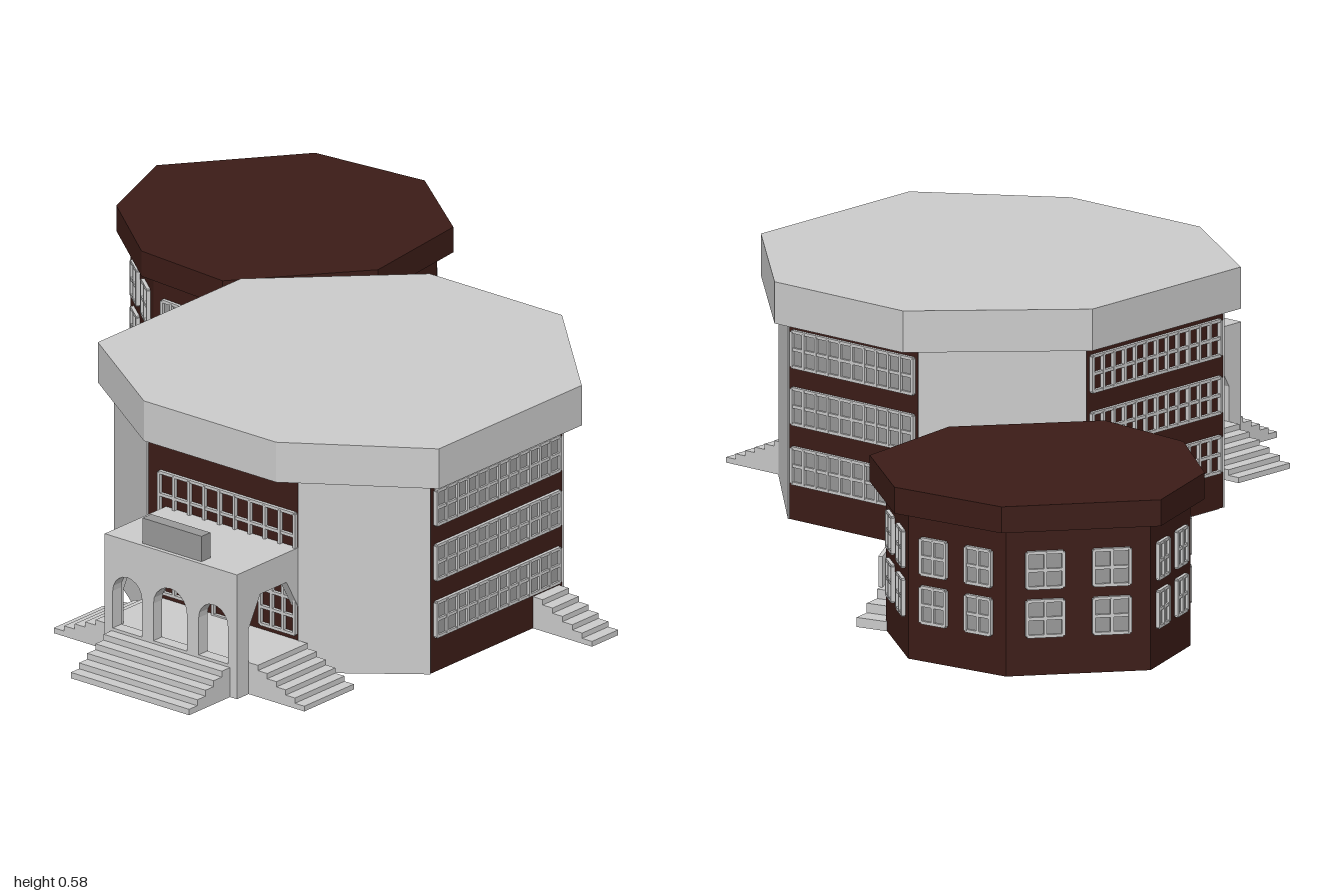
import * as THREE from 'three';

const grey = new THREE.MeshStandardMaterial({ color: 0xcccccc, flatShading: true });
const brown = new THREE.MeshStandardMaterial({ color: 0x3c1c17, flatShading: true });
const dark = new THREE.MeshStandardMaterial({ color: 0x999999, flatShading: true });
const GROUND = 0.035;

function add(parent, name, geo, mat, x = 0, y = 0, z = 0) {
  const mesh = new THREE.Mesh(geo, mat);
  mesh.name = name;
  mesh.position.set(x, y, z);
  parent.add(mesh);
  return mesh;
}

// Box given by its min and max corners
function block(parent, name, mat, x0, x1, y0, y1, z0, z1) {
  return add(parent, name, new THREE.BoxGeometry(x1 - x0, y1 - y0, z1 - z0), mat,
    (x0 + x1) / 2, (y0 + y1) / 2, (z0 + z1) / 2);
}

const polygon = pts => new THREE.Shape(pts.map(p => new THREE.Vector2(...p)));
const extrude = (shape, depth) =>
  new THREE.ExtrudeGeometry(shape, { depth, bevelEnabled: false, curveSegments: 5 });

// Upright prism over a plan of [x, z] points
function prism(parent, name, mat, plan, y0, y1) {
  const geo = extrude(polygon(plan.map(([x, z]) => [x, -z])), y1 - y0).rotateX(-Math.PI / 2);
  return add(parent, name, geo, mat, 0, y0, 0);
}

// Group on a wall: local x runs along the wall, local z points outward
function wallGroup(parent, name, plan, i) {
  const a = plan[i], b = plan[(i + 1) % plan.length];
  const cx = plan.reduce((s, p) => s + p[0], 0) / plan.length;
  const cz = plan.reduce((s, p) => s + p[1], 0) / plan.length;
  const mx = (a[0] + b[0]) / 2, mz = (a[1] + b[1]) / 2;
  let nx = b[1] - a[1], nz = a[0] - b[0];
  if (nx * (mx - cx) + nz * (mz - cz) < 0) { nx = -nx; nz = -nz; }
  const group = new THREE.Group();
  group.name = name;
  group.position.set(mx, 0, mz);
  group.rotation.y = Math.atan2(nx, nz);
  group.userData.width = Math.hypot(nx, nz);
  parent.add(group);
  return group;
}

// Framed window with a grid of bars, optionally glazed
function gridWindow(parent, x, y, w, h, cols, rows, glazed) {
  const bar = 0.007;
  if (glazed) block(parent, 'windowPane', dark, x - w / 2, x + w / 2, y, y + h, -0.002, 0.003);
  for (let i = 0; i <= cols; i++) {
    const bx = x - w / 2 + (w * i) / cols;
    block(parent, 'windowMullion', grey, bx - bar / 2, bx + bar / 2, y, y + h, 0, 0.009);
  }
  for (let j = 0; j <= rows; j++) {
    const by = y + (h * j) / rows;
    block(parent, 'windowRail', grey, x - w / 2, x + w / 2, by - bar / 2, by + bar / 2, 0, 0.008);
  }
}

// Stairs descending from (x, z) towards (dx, dz); under lists the underside points
function stairs(parent, name, x, z, dx, dz, run, height, width, steps, under = [[0, 0]]) {
  const pts = [[0, height]];
  for (let i = 0; i < steps; i++) {
    const s = (run * (i + 1)) / steps;
    pts.push([s, height * (1 - i / steps)], [s, height * (1 - (i + 1) / steps)]);
  }
  const geo = extrude(polygon([...pts, ...under]), width).translate(0, 0, -width / 2);
  const mesh = add(parent, name, geo, grey, x, GROUND, z);
  mesh.rotation.y = Math.atan2(-dz, dx);
  return mesh;
}

function mainBuilding() {
  const g = new THREE.Group();
  g.name = 'mainBuilding';
  const walls = [[0.13, 0.65], [0.56, 0.65], [0.79, 0.47], [0.79, 0.02],
    [0.53, -0.24], [0.15, -0.24], [-0.115, 0.02], [-0.115, 0.47]];
  const eaves = [[0.15, 0.69], [0.53, 0.69], [0.83, 0.49], [0.83, 0],
    [0.53, -0.29], [0.15, -0.29], [-0.15, 0], [-0.15, 0.49]];
  prism(g, 'mainWalls', brown, walls, GROUND, 0.49);
  prism(g, 'mainRoof', grey, eaves, 0.49, 0.585);
  // Plain grey panels on the diagonal walls
  for (const i of [1, 3, 5, 7]) {
    const wall = wallGroup(g, 'diagonalWall', walls, i), w = wall.userData.width / 2;
    block(wall, 'wallPanel', grey, -w, w, GROUND, 0.49, -0.01, 0.004);
  }
  // Three storeys of window bands on the sides and back
  for (const i of [2, 4, 6]) {
    const wall = wallGroup(g, 'windowWall', walls, i), w = wall.userData.width * 0.94;
    for (const y of [0.12, 0.255, 0.385]) gridWindow(wall, 0, y, w, 0.08, i === 4 ? 10 : 12, 2, i !== 6);
  }
  // Front windows and door
  const front = wallGroup(g, 'frontWall', walls, 0);
  gridWindow(front, 0.015, 0.305, 0.39, 0.105, 9, 2, false);
  for (const s of [-1, 1]) gridWindow(front, 0.02 + s * 0.14, 0.125, 0.1, 0.125, 3, 3, false);
  gridWindow(front, 0.02, 0.11, 0.09, 0.135, 2, 1, false);
  block(g, 'sideEntranceFloor', grey, -0.113, -0.02, 0.033, 0.04, 0.14, 0.46);
  stairs(g, 'sideStairs', 0.79, 0.075, 1, 0, 0.17, 0.075, 0.09, 6);
  return g;
}

function portico() {
  const g = new THREE.Group();
  g.name = 'entrancePortico';
  block(g, 'landing', grey, 0.18, 0.56, GROUND, 0.11, 0.65, 0.86);
  block(g, 'porticoRoof', grey, 0.18, 0.56, 0.3, 0.33, 0.65, 0.84);
  block(g, 'signBoard', dark, 0.28, 0.45, 0.33, 0.39, 0.82, 0.85);
  // Front screen with three arches
  const screen = polygon([[0.18, 0.11], [0.56, 0.11], [0.56, 0.33], [0.18, 0.33]]);
  for (const [x, r] of [[0.245, 0.042], [0.368, 0.048], [0.492, 0.042]]) {
    const arch = new THREE.Path();
    arch.moveTo(x - r, 0.112);
    arch.lineTo(x + r, 0.112);
    arch.lineTo(x + r, 0.2);
    arch.absarc(x, 0.2, r, 0, Math.PI, false);
    arch.lineTo(x - r, 0.112);
    screen.holes.push(arch);
  }
  add(g, 'archedScreen', extrude(screen, 0.03), grey, 0, 0, 0.83);
  // Side openings with chamfered heads
  const side = polygon([[0.65, 0.33], [0.65, 0.19], [0.69, 0.26], [0.78, 0.26],
    [0.82, 0.19], [0.82, 0.11], [0.86, 0.11], [0.86, 0.33]]);
  for (const x of [0.2, 0.56]) {
    add(g, 'sideArch', extrude(side, 0.02).rotateY(-Math.PI / 2), grey, x, 0, 0);
  }
  stairs(g, 'frontStairs', 0.37, 0.86, 0, 1, 0.14, 0.07, 0.34, 5);
  stairs(g, 'leftStairs', 0.56, 0.735, 1, 0, 0.16, 0.075, 0.17, 6);
  stairs(g, 'rightStairs', 0.18, 0.735, -1, 0, 0.18, 0.075, 0.17, 6);
  return g;
}

function annex() {
  const g = new THREE.Group();
  g.name = 'annex';
  const eaves = [[-0.46, -1], [-0.75, -0.97], [-0.97, -0.69], [-0.885, -0.45],
    [-0.67, -0.28], [-0.42, -0.26], [-0.2, -0.53], [-0.235, -0.83]];
  const walls = eaves.map(([x, z]) => [-0.585 + (x + 0.585) * 0.91, -0.63 + (z + 0.63) * 0.91]);
  prism(g, 'annexWalls', brown, walls, GROUND, 0.37);
  prism(g, 'annexRoof', brown, eaves, 0.37, 0.43);
  // Two storeys of paired windows on the free walls
  for (const i of [0, 1, 2, 3, 4, 7]) {
    const wall = wallGroup(g, 'annexWindowWall', walls, i), w = wall.userData.width;
    for (const s of [-1, 1]) for (const y of [0.125, 0.235]) {
      gridWindow(wall, s * w * 0.23, y, w * 0.25, 0.08, 2, 2, true);
    }
  }
  return g;
}

function bridge() {
  const g = new THREE.Group();
  g.name = 'bridge';
  const span = new THREE.Group();
  span.name = 'bridgeSpan';
  span.position.set(-0.14, 0, -0.29);
  span.rotation.y = -Math.PI / 4;
  block(span, 'bridgeDeck', grey, -0.23, 0.23, 0.2, 0.23, -0.107, 0.107);
  block(span, 'longParapet', grey, -0.2, 0.22, 0.2, 0.31, 0.095, 0.107);
  block(span, 'shortParapet', grey, -0.064, 0.22, 0.2, 0.31, -0.107, -0.095);
  block(span, 'bridgePier', grey, 0.084, 0.129, 0, 0.2, -0.11, 0.11);
  g.add(span);
  // Outdoor flight down beside the annex, with sloping parapets
  const flight = stairs(g, 'bridgeStairs', -0.15, -0.42, -0.09, -0.4, 0.42, 0.195, 0.08, 9,
    [[0.29, 0], [0, 0.135]]);
  const rail = polygon([[0, 0.19], [0, 0.27], [0.31, 0.135], [0.31, 0.065]]);
  for (const z of [-0.046, 0.036]) add(flight, 'stairParapet', extrude(rail, 0.01), grey, 0, 0, z);
  return g;
}

export function createModel() {
  const model = new THREE.Group();
  model.name = 'hallWithAnnex';
  model.add(mainBuilding(), portico(), annex(), bridge());
  return model;
}
